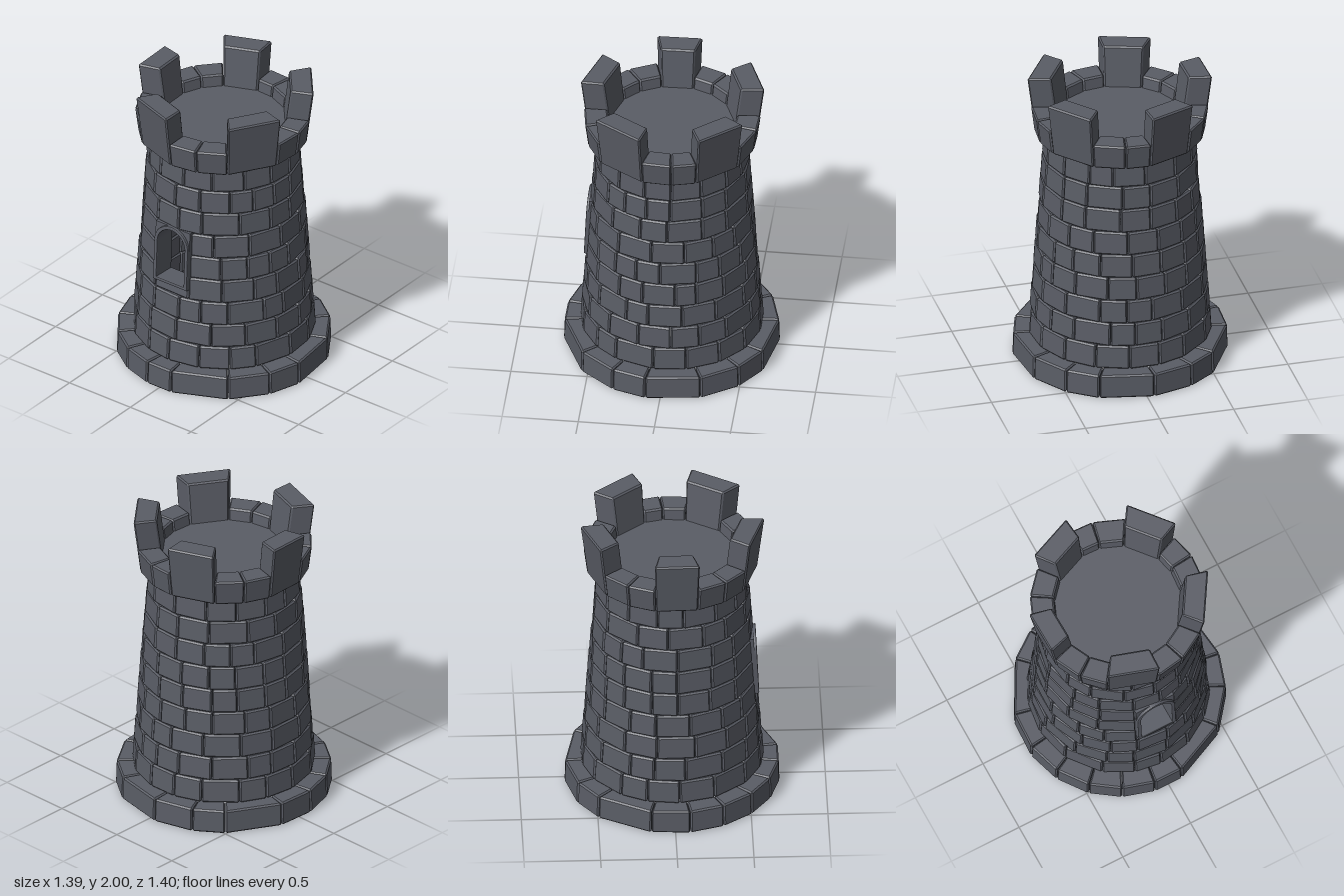
import * as THREE from 'three';
import { mergeGeometries } from 'three/addons/utils/BufferGeometryUtils.js';
import { ConvexGeometry } from 'three/addons/geometries/ConvexGeometry.js';

const stone = new THREE.MeshStandardMaterial({ color: 0x5a5d66 });
const DEG = Math.PI / 180;

// Small seeded generator for the uneven brick widths
let seed = 11;
const rand = () => (seed = (seed * 16807) % 2147483647) / 2147483647;

// Angle 0 faces the front (+z) and grows towards +x
const polar = (a, r, y) => new THREE.Vector3(r * Math.sin(a), y, r * Math.cos(a));

// Chamfered wedge block between two angles; r0/r1 are outer radii at y0/y1.
// i0/i1 are the angles of the inner corners.
function brick({ a0, a1, r0, r1, t, y0, y1, i0 = a0, i1 = a1, bevel = 0.01, gap = 0.003 }) {
  const corner = (u, v, w) => {
    const r = (v ? r1 : r0) - (w ? 0 : t);
    const a = u ? (w ? a1 : i1) - gap : (w ? a0 : i0) + gap;
    return polar(a, r, v ? y1 : y0);
  };
  const at = (u, v, w) => {
    const p = new THREE.Vector3();
    for (const i of [0, 1]) for (const j of [0, 1]) for (const k of [0, 1])
      p.addScaledVector(corner(i, j, k), (i ? u : 1 - u) * (j ? v : 1 - v) * (k ? w : 1 - w));
    return p;
  };
  const inset = [bevel / ((a1 - a0) * r0), bevel / (y1 - y0), bevel / t];
  const points = [];
  for (const i of [0, 1]) for (const j of [0, 1]) for (const k of [0, 1])
    for (let keep = 0; keep < 3; keep++) {
      const q = [i, j, k].map((c, n) => (n === keep ? c : c ? 1 - inset[n] : inset[n]));
      points.push(at(...q));
    }
  return new ConvexGeometry(points);
}

// Uneven joints from one angle to another
function joints(start, end, n) {
  const widths = Array.from({ length: n }, () => 0.75 + 0.5 * rand());
  const total = widths.reduce((s, w) => s + w, 0);
  const list = [start];
  for (const w of widths) list.push(list[list.length - 1] + ((end - start) * w) / total);
  list[n] = end;
  return list;
}

function addMesh(parent, name, geometry) {
  const mesh = new THREE.Mesh(geometry, stone);
  mesh.name = name;
  parent.add(mesh);
  return mesh;
}

// Outline of a round-headed opening standing on y = base
function arch(Type, half, base, centre) {
  const s = new Type();
  s.moveTo(-half, base);
  s.lineTo(half, base);
  s.lineTo(half, centre);
  s.absarc(0, centre, half, 0, Math.PI, false);
  s.lineTo(-half, base);
  return s;
}

export function createModel() {
  seed = 11;
  const tower = new THREE.Group();
  tower.name = 'tower';

  // Foundation ring
  const footing = [8, 40, 63, 82, 112, 135, 154, 184, 207, 225, 257, 278, 297, 316, 334, 352, 368];
  addMesh(tower, 'foundationRing', mergeGeometries(footing.slice(0, -1).map((a, i) =>
    brick({ a0: a * DEG, a1: footing[i + 1] * DEG, r0: 0.705, r1: 0.7, t: 0.135, y0: 0, y1: 0.163 }))));

  // Tapering wall courses; courses 3 to 5 leave room for the window
  const rows = 9, bottom = 0.165, height = (1.625 - bottom) / rows, thick = 0.14;
  const windowX = -0.012, windowHalf = 0.14;
  for (let i = 0; i < rows; i++) {
    const r0 = 0.6 - 0.0115 * i, r1 = r0 - 0.01;
    const y0 = bottom + i * height, y1 = y0 + height - 0.002;
    const n = i < 5 ? 17 : 16;
    const size = { r0, r1, t: thick, y0, y1 };
    const parts = [];
    if (i >= 3 && i <= 5) {
      const edge = (s, r) => Math.asin((windowX + s * windowHalf) / r);
      const right = edge(1, r0), left = edge(-1, r0);
      const rightIn = edge(1, r0 - thick), leftIn = edge(-1, r0 - thick);
      const list = joints(right, left + 2 * Math.PI, n - 1);
      for (let k = 0; k < n - 1; k++) parts.push(brick({
        ...size, a0: list[k], a1: list[k + 1],
        i0: k === 0 ? rightIn : list[k],
        i1: k === n - 2 ? leftIn + 2 * Math.PI : list[k + 1],
      }));
      // Stone under the sill
      if (i === 3) parts.push(brick({ ...size, a0: left, a1: right, i0: leftIn, i1: rightIn, y1: 0.728 }));
    } else {
      const start = rand() * 0.4;
      const list = joints(start, start + 2 * Math.PI, n);
      for (let k = 0; k < n; k++) parts.push(brick({ ...size, a0: list[k], a1: list[k + 1] }));
    }
    addMesh(tower, 'wallCourse' + (i + 1), mergeGeometries(parts));
  }

  // Flared parapet: low stones and five tall merlons
  const crown = [-35, -1, 19, 40, 76, 96, 113, 147, 169, 186, 218, 238, 257, 286, 306, 325];
  const merlonStarts = [-35, 40, 113, 186, 257];
  const low = [], tall = [];
  const flare = (y) => 0.557 + ((y - 1.625) / 0.375) * 0.048;
  for (let k = 0; k < crown.length - 1; k++) {
    const isTall = merlonStarts.includes(crown[k]);
    const y1 = isTall ? 2 : 1.8;
    (isTall ? tall : low).push(brick({
      a0: crown[k] * DEG, a1: crown[k + 1] * DEG,
      r0: flare(1.625), r1: flare(y1), t: 0.155, y0: 1.625, y1,
    }));
  }
  addMesh(tower, 'parapet', mergeGeometries(low));
  addMesh(tower, 'merlons', mergeGeometries(tall));

  // Roof deck inside the parapet
  addMesh(tower, 'roofDeck', new THREE.CylinderGeometry(0.43, 0.43, 0.09, 32)).position.y = 1.675;

  // Arched window, leaning back with the wall
  const opening = new THREE.Group();
  opening.name = 'window';
  opening.position.set(windowX, 0.72, 0.565);
  opening.rotation.x = -0.045;
  tower.add(opening);

  const outline = arch(THREE.Shape, 0.138, 0, 0.292);
  outline.holes.push(arch(THREE.Path, 0.112, 0.022, 0.292));
  const frame = new THREE.ExtrudeGeometry(outline, {
    depth: 0.153, curveSegments: 16, bevelThickness: 0.006, bevelSize: 0.006, bevelOffset: -0.006, bevelSegments: 2,
  });
  addMesh(opening, 'windowFrame', frame).position.z = -0.159;

  // Stone filling the corners above the arch
  const corners = new THREE.Shape();
  corners.moveTo(-0.14, 0.292);
  corners.lineTo(-0.13, 0.292);
  corners.absarc(0, 0.292, 0.13, Math.PI, 0, true);
  corners.lineTo(0.14, 0.292);
  corners.lineTo(0.14, 0.425);
  corners.lineTo(-0.14, 0.425);
  const fill = new THREE.ExtrudeGeometry(corners, { depth: 0.13, curveSegments: 16, bevelEnabled: false });
  addMesh(opening, 'archCorners', fill).position.z = -0.147;

  return tower;
}
